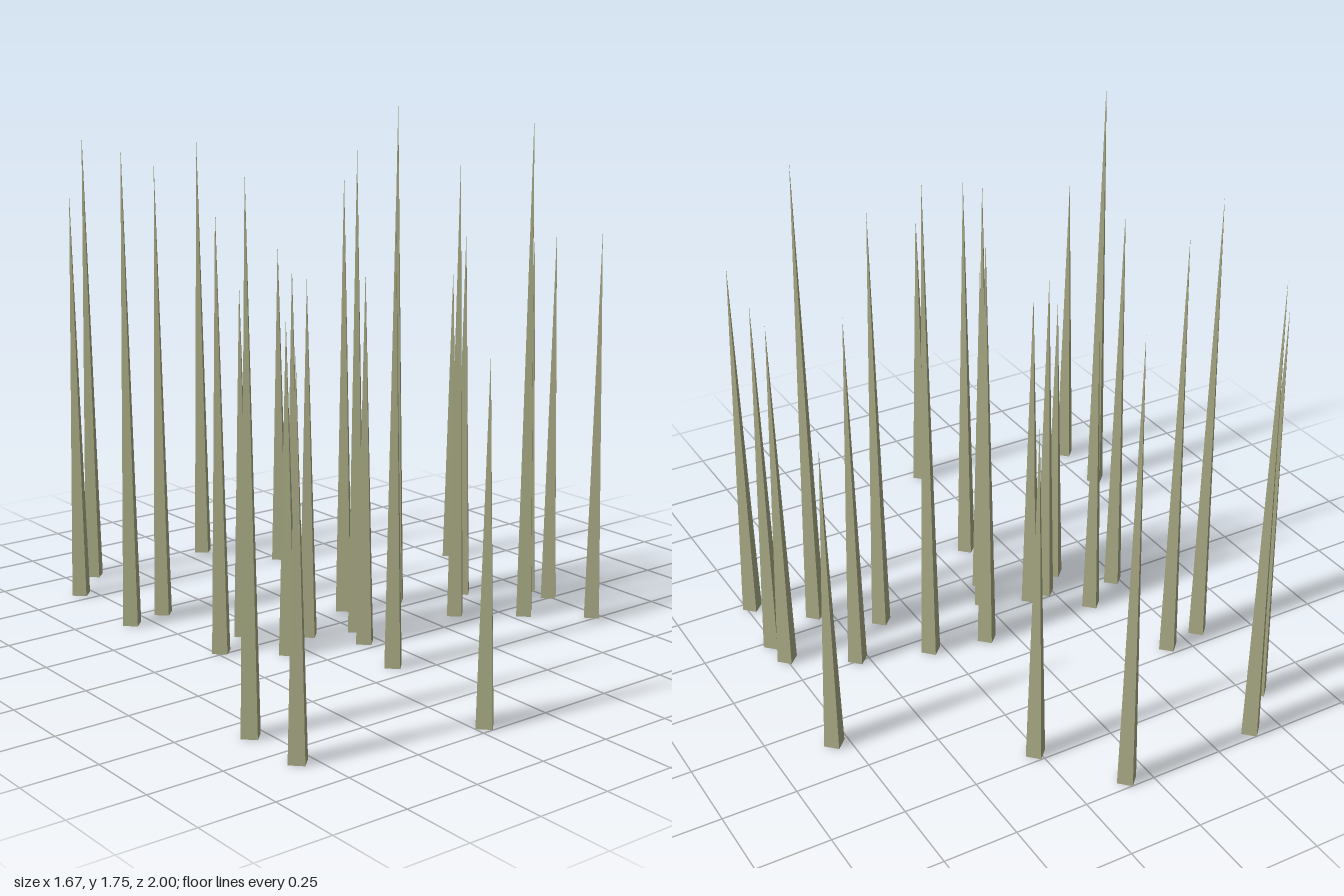
import * as THREE from 'three';

// Each spike: x, z, height
const SPIKES = [
  [-0.4, -0.965, 1.62], [0.08, -0.965, 1.57], [-0.545, -0.81, 1.43], [0.262, -0.713, 1.2],
  [-0.425, -0.457, 1.55], [-0.567, -0.43, 1.64], [0.798, -0.348, 1.1], [-0.33, -0.11, 1.19],
  [-0.478, -0.023, 1.46], [0.094, -0.103, 1.52], [0.294, -0.065, 1.75], [0.537, 0.013, 1.31],
  [-0.225, 0.035, 1.26], [-0.16, 0.027, 1.21], [-0.003, 0.089, 1.62], [-0.314, 0.122, 1.11],
  [-0.053, 0.196, 1.25], [0.366, 0.172, 1.57], [0.745, 0.135, 1.28], [0.753, 0.234, 1.31],
  [0.553, 0.32, 1.72], [0.728, 0.474, 1.34], [-0.116, 0.421, 1.48], [-0.8, 0.6, 1.65],
  [-0.8, 0.83, 1.17], [-0.213, 0.963, 1.12],
];
const RADIUS = 0.036;

export function createModel() {
  const group = new THREE.Group();
  group.name = 'spikeField';

  const material = new THREE.MeshStandardMaterial({ color: 0xb2b48c, flatShading: true });
  material.name = 'dryReed';

  // Unit-height four-sided spike standing on the ground, corners along x and z
  const geometry = new THREE.ConeGeometry(RADIUS, 1, 4);
  geometry.translate(0, 0.5, 0);

  SPIKES.forEach(([x, z, height], i) => {
    const spike = new THREE.Mesh(geometry, material);
    spike.name = `spike${i + 1}`;
    spike.position.set(x, 0, z);
    spike.scale.y = height;
    group.add(spike);
  });
  return group;
}
